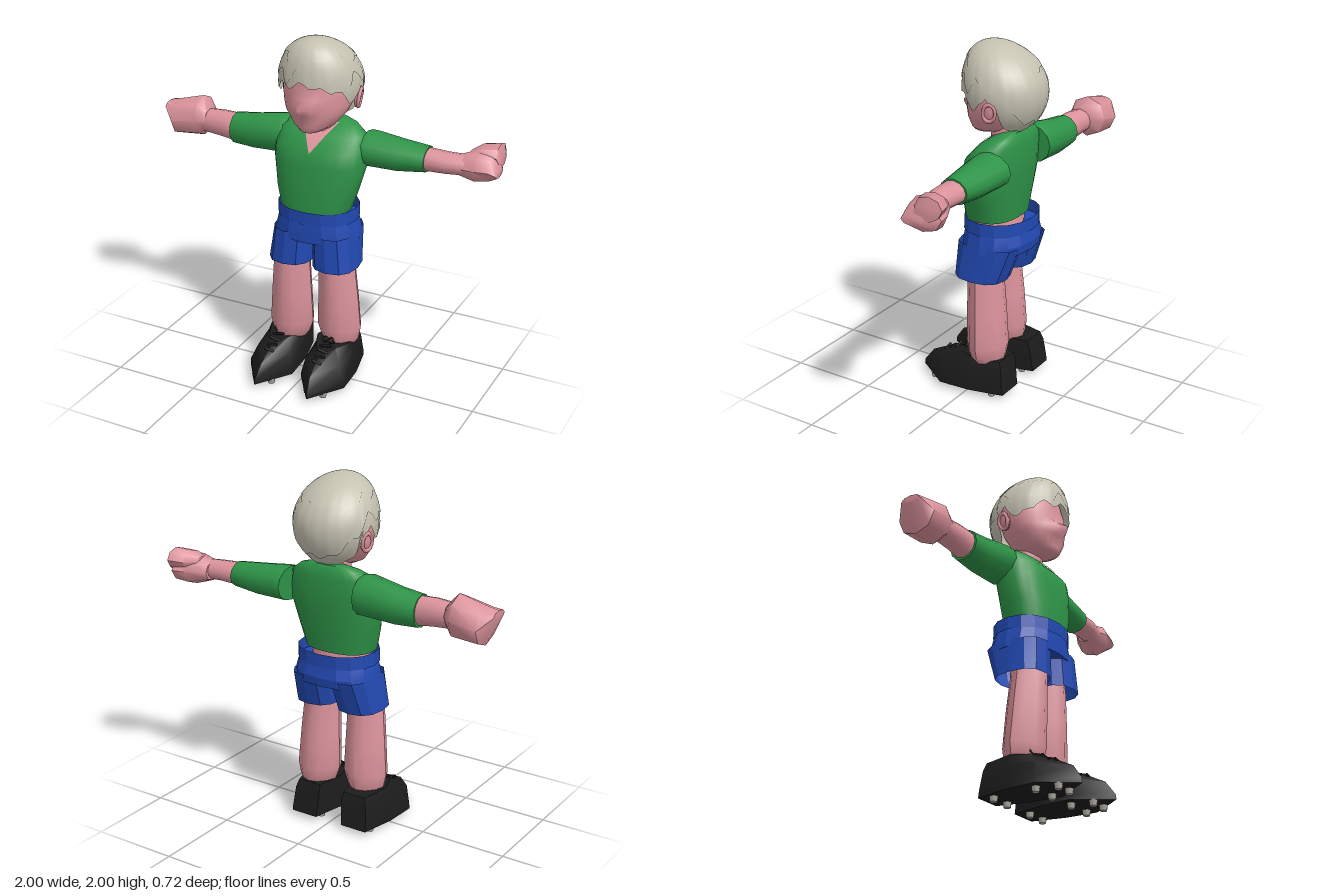
import * as THREE from 'three';
import { toCreasedNormals } from 'three/addons/utils/BufferGeometryUtils.js';

function material(name, color, side = THREE.FrontSide) {
  const m = new THREE.MeshStandardMaterial({ color, side });
  m.name = name;
  return m;
}

// Skin a list of equal-length rings; optional caps close both ends
function skinRings(rings, { cap = true, crease = 0.7 } = {}) {
  const n = rings[0].length, pos = [], idx = [];
  rings.forEach(r => r.forEach(p => pos.push(...p)));
  for (let j = 0; j < rings.length - 1; j++) {
    for (let i = 0; i < n; i++) {
      const a = j * n + i, b = j * n + (i + 1) % n;
      idx.push(a, b, b + n, a, b + n, a + n);
    }
  }
  if (cap) {
    for (const j of [0, rings.length - 1]) {
      const c = pos.length / 3;
      pos.push(...[0, 1, 2].map(k => rings[j].reduce((s, p) => s + p[k], 0) / n));
      for (let i = 0; i < n; i++) {
        const a = j * n + i, b = j * n + (i + 1) % n;
        if (j === 0) idx.push(c, b, a); else idx.push(c, a, b);
      }
    }
  }
  const g = new THREE.BufferGeometry();
  g.setAttribute('position', new THREE.Float32BufferAttribute(pos, 3));
  g.setIndex(idx);
  return toCreasedNormals(g, crease);
}

// Superellipse rings along an axis; sections are [t, centreU, centreV, radiusU, radiusV]
// u,v are (x,z) for axis y and (y,z) for axis x; shape may move each point
function loft(axis, sections, sides, { power = 2, turn = 0, shape = p => p, ...opts } = {}) {
  const bend = v => Math.sign(v) * Math.abs(v) ** (2 / power);
  const rings = sections.map(([t, cu, cv, ru, rv]) => Array.from({ length: sides }, (_, i) => {
    const a = (i + turn) / sides * Math.PI * 2, c = bend(Math.cos(a)), s = bend(Math.sin(a));
    return shape(axis === 'y' ? [cu + ru * s, t, cv + rv * c] : [t, cu + ru * c, cv + rv * s]);
  }));
  return skinRings(rings, opts);
}

function lerpTable(table, x, k = 1) {
  for (let i = 1; i < table.length; i++) {
    const [a, b] = [table[i - 1], table[i]];
    if (x <= b[0]) return a[k] + (b[k] - a[k]) * (x - a[0]) / (b[0] - a[0]);
  }
  return table[table.length - 1][k];
}

export function createModel() {
  const skin = material('skin', 0xdc939c);
  const green = material('shirt green', 0x2e9448);
  const blue = material('shorts blue', 0x2249b2, THREE.DoubleSide);
  const blond = material('pale hair', 0xc4c1b0, THREE.DoubleSide);
  const black = material('boot black', 0x1c1c1c);
  const grey = material('stud grey', 0xaaa79c);
  const model = new THREE.Group();
  const add = (name, geo, mat, parent = model) => {
    const m = new THREE.Mesh(geo, mat);
    m.name = name;
    parent.add(m);
    return m;
  };

  // Shirt body
  const torso = [
    [1.035, 0.003, -0.06, 0.203, 0.145], [1.15, 0.008, -0.067, 0.235, 0.152], [1.3, 0.015, -0.087, 0.268, 0.152],
    [1.38, 0.015, -0.095, 0.265, 0.147], [1.46, 0.01, -0.13, 0.25, 0.108],
    [1.505, 0.005, -0.162, 0.19, 0.07], [1.53, 0.005, -0.18, 0.115, 0.035]];
  add('shirtBody', loft('y', torso, 24, { power: 2.4, crease: 0.9 }), green);

  // Skin showing in the V neck, laid on the chest
  const vRows = 8, vCols = 6, vPos = [], vIdx = [];
  for (let j = 0; j <= vRows; j++) {
    for (let i = 0; i <= vCols; i++) {
      const y = 1.375 + 0.14 * j / vRows;
      const x = 0.015 + (i / vCols * 2 - 1) * 0.095 * j / vRows;
      const u = Math.min(1, Math.abs(x - 0.005) / lerpTable(torso, y, 3));
      const z = lerpTable(torso, y, 2) + lerpTable(torso, y, 4) * (1 - u ** 2.4) ** (1 / 2.4);
      vPos.push(x, y, z + 0.007);
      if (i < vCols && j < vRows) {
        const a = j * (vCols + 1) + i, b = a + vCols + 1;
        vIdx.push(a, a + 1, b + 1, a, b + 1, b);
      }
    }
  }
  const vGeo = new THREE.BufferGeometry();
  vGeo.setAttribute('position', new THREE.Float32BufferAttribute(vPos, 3));
  vGeo.setIndex(vIdx);
  vGeo.computeVertexNormals();
  add('neckOpening', vGeo, skin);

  // Head with the nose drawn out of the face, neck and waist
  const pullNose = ([x, y, z]) => [x, y, z > 0
    ? z + 0.065 * Math.exp(-(((x - 0.005) / 0.065) ** 2)) * Math.max(0, 1 - Math.abs(y - 1.645) / 0.045) : z];
  add('neck', loft('y', [[1.43, 0.005, -0.12, 0.09, 0.085], [1.6, 0.005, -0.11, 0.08, 0.08]], 12), skin);
  add('head', loft('y', [
    [1.5, 0.005, 0.01, 0.055, 0.065], [1.53, 0.005, -0.035, 0.115, 0.118], [1.6, 0.005, -0.06, 0.172, 0.155],
    [1.645, 0.005, -0.076, 0.19, 0.166], [1.69, 0.005, -0.083, 0.197, 0.172],
    [1.76, 0.005, -0.09, 0.2, 0.18], [1.88, 0.005, -0.09, 0.165, 0.15],
    [1.94, 0.005, -0.08, 0.09, 0.09]], 24, { crease: 2, shape: pullNose }), skin);
  add('waist', loft('y', [[0.98, 0, -0.07, 0.17, 0.125], [1.05, 0, -0.06, 0.18, 0.125]], 16), skin);
  for (const [side, s] of [['left', 1], ['right', -1]]) {
    const ear = new THREE.Group();
    ear.name = side + 'Ear';
    ear.position.set(0.005 + s * 0.203, 1.67, -0.138);
    ear.rotation.set(-0.15, s * 0.25, s * -0.1);
    add('earInner', new THREE.SphereGeometry(1, 10, 8), skin, ear).scale.set(0.018, 0.058, 0.04);
    const rim = add('earRim', new THREE.TorusGeometry(0.04, 0.011, 6, 14), skin, ear);
    rim.position.x = s * 0.012;
    rim.rotation.y = Math.PI / 2;
    rim.scale.set(0.85, 1.22, 1);
    model.add(ear);
  }

  // Hair: layered caps with pointed locks, the crown leaning forward
  function hairCap(size, edge, jag, seed) {
    const n = 72, rows = 12, rings = [];
    for (let j = 0; j <= rows; j++) {
      rings.push(Array.from({ length: n }, (_, i) => {
        const a = i / n * Math.PI * 2;
        const deg = Math.abs(a > Math.PI ? a - 2 * Math.PI : a) * 180 / Math.PI;
        const tooth = Math.abs(((i + seed) % 6) / 3 - 1) - 0.5 + 0.35 * Math.sin(i * 0.7 + seed);
        const low = lerpTable(edge, deg) + jag * tooth * (deg > 125 ? 0.4 : 1);
        const phi = Math.acos(Math.max(-1, (low - 1.74) / 0.257)) * (1 - j / rows);
        const out = Math.sin(phi) * size * (1 + 0.006 * Math.sin(i * 1.9) * Math.sin(phi));
        const lean = 0.07 * Math.max(0, Math.cos(phi)) ** 2;
        return [0.005 + 0.237 * out * Math.sin(a), 1.742 + 0.257 * size * Math.cos(phi), -0.105 + lean + 0.238 * out * Math.cos(a)];
      }));
    }
    return skinRings(rings, { cap: false, crease: 0.8 });
  }
  const hairline = [[0, 1.775], [30, 1.765], [55, 1.72], [75, 1.675], [88, 1.69], [95, 1.735],
    [108, 1.715], [116, 1.58], [135, 1.54], [180, 1.53]];
  add('hair', hairCap(0.965, hairline, 0.03, 1), blond);
  add('hairUpperLayer', hairCap(0.987, [[0, 1.82], [70, 1.8], [110, 1.78], [140, 1.62], [180, 1.58]], 0.06, 2), blond);
  add('hairCrown', hairCap(1.004, [[0, 1.91], [60, 1.91], [180, 1.86]], 0.035, 3), blond);

  // Arms, each section running along x
  add('rightSleeve', loft('x', [[-0.555, 1.36, -0.155, 0.09, 0.088], [-0.42, 1.365, -0.155, 0.102, 0.1],
    [-0.23, 1.388, -0.152, 0.114, 0.12], [-0.195, 1.385, -0.155, 0.108, 0.115]], 12), green);
  add('rightForearm', loft('x', [[-0.78, 1.37, -0.16, 0.065, 0.07], [-0.64, 1.37, -0.155, 0.077, 0.072],
    [-0.52, 1.36, -0.155, 0.082, 0.078]], 12), skin);
  add('leftSleeve', loft('x', [[0.255, 1.376, -0.175, 0.096, 0.124], [0.3, 1.376, -0.175, 0.095, 0.122],
    [0.45, 1.368, -0.175, 0.087, 0.105], [0.61, 1.37, -0.18, 0.07, 0.084]], 12), green);
  add('leftForearm', loft('x', [[0.57, 1.37, -0.18, 0.064, 0.076], [0.72, 1.37, -0.18, 0.058, 0.072],
    [0.84, 1.37, -0.2, 0.055, 0.065]], 12), skin);

  // Fists
  add('rightHand', loft('x', [[-1, 1.425, -0.165, 0.025, 0.06], [-0.935, 1.36, -0.172, 0.105, 0.115],
    [-0.785, 1.385, -0.18, 0.12, 0.113], [-0.73, 1.385, -0.165, 0.065, 0.075]], 8, { crease: 0.9 }), skin);
  add('leftHand', loft('x', [[0.775, 1.365, -0.205, 0.055, 0.07], [0.88, 1.37, -0.225, 0.092, 0.108],
    [0.96, 1.37, -0.24, 0.075, 0.11], [1, 1.355, -0.2, 0.025, 0.06]], 8, { crease: 0.9 }), skin);
  add('leftFingers', loft('x', [[0.83, 1.42, -0.235, 0.025, 0.045], [0.885, 1.425, -0.26, 0.055, 0.08],
    [0.975, 1.43, -0.285, 0.06, 0.08], [0.99, 1.4, -0.27, 0.04, 0.06]], 8, { crease: 0.9 }), skin);

  // Shorts: waistband, hips and two open legs
  add('waistband', loft('y', [[0.97, 0.003, -0.09, 0.232, 0.19], [1.045, 0.003, -0.09, 0.23, 0.19]], 16,
    { power: 2.2, cap: false, crease: 0.3 }), blue);
  add('shortsHips', loft('y', [[0.86, 0.003, -0.09, 0.247, 0.19], [0.91, 0.003, -0.094, 0.24, 0.194],
    [0.98, 0.003, -0.09, 0.222, 0.182]], 16, { power: 2.3, crease: 0.3 }), blue);
  for (const [side, s] of [['left', 1], ['right', -1]]) {
    add(side + 'ShortsLeg', loft('y', [
      [0.7, 0.003 + s * 0.135, -0.05, 0.128, 0.15], [0.9, 0.003 + s * 0.12, -0.09, 0.119, 0.183]],
    12, { power: 2.5, cap: false, crease: 0.3 }), blue);

    // Leg
    const dz = s > 0 ? -0.075 : -0.025, cx = s * 0.139;
    add(side + 'Leg', loft('y', [[0.17, cx + s * 0.008, dz - 0.01, 0.075, 0.08], [0.23, cx + s * 0.005, dz - 0.01, 0.115, 0.11],
      [0.3, cx, dz - 0.008, 0.134, 0.122], [0.5, cx - s * 0.004, dz, 0.122, 0.117],
      [0.7, cx - s * 0.01, dz + 0.01, 0.11, 0.107], [0.88, cx - s * 0.02, dz, 0.1, 0.1]], 12, { power: 1.65 }), skin);

    // Boot, pointed at the toe, with the ankle set slightly inward
    const boot = new THREE.Group();
    boot.name = side + 'Boot';
    boot.position.x = s > 0 ? 0.146 : -0.185;
    model.add(boot);
    const ring = (half, shift) => {
      const pts = half.map(([x, y, z]) => [x - s * shift, y, z]);
      const back = half.slice(1).reverse().map(([x, y, z]) => [-x - s * shift, y, z]);
      return [...pts, ...back];
    };
    add('bootBody', skinRings([
      ring([[0, 0.03, 0.35], [0.137, 0.03, 0.15], [0.125, 0.03, -0.04], [0.08, 0.03, -0.235]], 0),
      ring([[0, 0.06, 0.345], [0.135, 0.06, 0.15], [0.125, 0.06, -0.04], [0.082, 0.06, -0.23]], 0),
      ring([[0, 0.135, 0.29], [0.105, 0.155, 0.13], [0.12, 0.175, -0.03], [0.08, 0.175, -0.215]], 0.01),
      ring([[0, 0.2, 0.16], [0.062, 0.222, 0.075], [0.105, 0.226, -0.03], [0.072, 0.22, -0.2]], 0.015)],
    { crease: 0.8 }), black, boot);

    // Laces and bow
    for (let i = 0; i < 5; i++) {
      const lace = add('lace', new THREE.CylinderGeometry(0.008, 0.008, 0.075 - i * 0.005, 6), black, boot);
      lace.position.set(-s * 0.013, 0.247 - i * 0.017, 0.045 + i * 0.037);
      lace.rotation.z = Math.PI / 2 + (i % 2 ? 0.2 : -0.2);
    }
    for (const k of [-1, 1]) {
      const bow = add('bowLoop', new THREE.TorusGeometry(0.015, 0.005, 5, 10), black, boot);
      bow.position.set(-s * 0.013 + k * 0.018, 0.252, 0.05);
      bow.rotation.x = -0.5;
    }

    // Studs under the sole
    for (const [z, half] of [[0.24, 0.05], [0.12, 0.075], [-0.15, 0.06]]) {
      for (const k of [-1, 1]) {
        add('stud', new THREE.CylinderGeometry(0.024, 0.019, 0.034, 8), grey, boot).position.set(k * half, 0.017, z);
      }
    }
  }
  return model;
}
